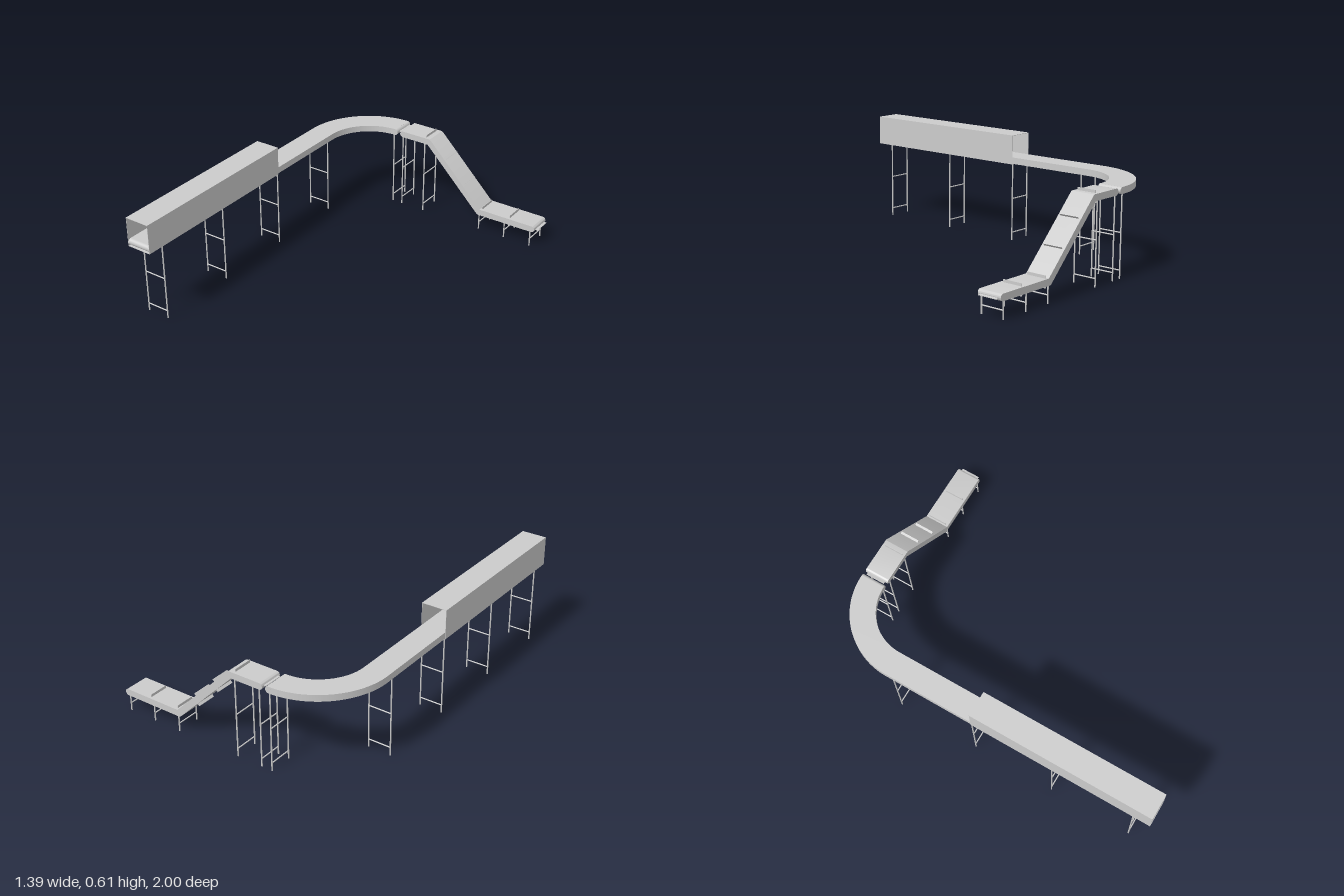
import * as THREE from 'three';
import { toCreasedNormals } from 'three/addons/utils/BufferGeometryUtils.js';

const R = 0.0185;   // half the belt thickness
const HIGH = 0.467; // centre height of the raised belts
const LOW = 0.11;   // centre height of the lower belt

export function createModel() {
  const model = new THREE.Group();
  const grey = new THREE.MeshStandardMaterial({ color: 0xcccccc });

  const add = (name, geometry, parent = model) => {
    const mesh = new THREE.Mesh(geometry, grey);
    mesh.name = name;
    parent.add(mesh);
    return mesh;
  };
  const extrude = (shape, depth, curveSegments = 12) =>
    new THREE.ExtrudeGeometry(shape, { depth, curveSegments, bevelEnabled: false });

  // Curved belt: plan outline with a straight run and a quarter turn
  const plan = new THREE.Shape();
  plan.moveTo(-0.69, -0.98);
  plan.lineTo(-0.69, 0.59);
  plan.absarc(-0.28, 0.59, 0.41, Math.PI, Math.PI / 2, true);
  plan.lineTo(-0.28, 0.86);
  plan.absarc(-0.28, 0.59, 0.27, Math.PI / 2, Math.PI, false);
  plan.lineTo(-0.55, -0.98);
  plan.closePath();
  const curved = extrude(plan, 2 * R, 32).rotateX(-Math.PI / 2).translate(0, HIGH - R, 0);
  add('curvedBelt', toCreasedNormals(curved, 0.5));

  // Rounded belt ends
  const roller = () => new THREE.CylinderGeometry(R, R, 0.14, 24);
  add('frontRoller', roller().rotateZ(Math.PI / 2)).position.set(-0.62, HIGH, 0.98);
  add('turnRoller', roller().rotateX(Math.PI / 2)).position.set(-0.283, HIGH, -0.93);

  // Open-ended tunnel around the straight run
  const ring = new THREE.Shape();
  const hole = new THREE.Path();
  const rect = (path, x0, y0, x1, y1) => {
    path.moveTo(x0, y0);
    path.lineTo(x1, y0);
    path.lineTo(x1, y1);
    path.lineTo(x0, y1);
    path.closePath();
  };
  rect(ring, -0.692, 0.445, -0.546, 0.613);
  rect(hole, -0.69, 0.447, -0.548, 0.611);
  ring.holes.push(hole);
  add('tunnel', extrude(ring, 1.065).translate(0, 0, -0.065));

  // Descending belt: side outline, clockwise from the upper end
  const m = R * Math.tan(Math.PI / 8);
  const [ax, bx, cx, dx] = [-0.227, -0.045, 0.312, 0.663];
  const side = new THREE.Shape();
  side.moveTo(ax, HIGH + R);
  side.lineTo(bx, HIGH + R);
  side.absarc(bx, HIGH, R, Math.PI / 2, Math.PI / 4, true);
  side.lineTo(cx + m, LOW + R);
  side.lineTo(dx, LOW + R);
  side.absarc(dx, LOW, R, Math.PI / 2, -Math.PI / 2, true);
  side.lineTo(cx, LOW - R);
  side.absarc(cx, LOW, R, -Math.PI / 2, -Math.PI * 0.75, true);
  side.lineTo(bx - m, HIGH - R);
  side.lineTo(ax, HIGH - R);
  side.absarc(ax, HIGH, R, -Math.PI / 2, -Math.PI * 1.5, true);
  add('descendingBelt', toCreasedNormals(extrude(side, 0.14).translate(0, 0, -1), 0.5));

  // Cleats standing out from the descending belt, evenly spaced round the loop
  const cleats = new THREE.Group();
  cleats.name = 'cleats';
  model.add(cleats);
  const count = 12;
  const start = 0.157 / side.getLength();
  for (let i = 0; i < count; i++) {
    const u = (start + i / count) % 1;
    const p = side.getPointAt(u);
    const t = side.getTangentAt(u);
    const cleat = add('cleat', new THREE.BoxGeometry(0.003, 0.016, 0.11), cleats);
    cleat.position.set(p.x - t.y * 0.007, p.y + t.x * 0.007, -0.93);
    cleat.rotation.z = Math.atan2(t.y, t.x);
  }

  // Leg frame: two posts joined by rungs, spread along local x
  const legFrame = (x, z, height, rungs, turned) => {
    const frame = new THREE.Group();
    frame.name = 'legFrame';
    for (const s of [-1, 1]) {
      add('post', new THREE.CylinderGeometry(0.004, 0.004, height, 10), frame)
        .position.set(s * 0.066, height / 2, 0);
    }
    for (const y of rungs) {
      add('rung', new THREE.CylinderGeometry(0.0035, 0.0035, 0.132, 10).rotateZ(Math.PI / 2), frame)
        .position.y = y;
    }
    frame.position.set(x, 0, z);
    if (turned) frame.rotation.y = Math.PI / 2;
    model.add(frame);
  };
  for (const z of [0.9, 0.42, -0.062, -0.545]) legFrame(-0.619, z, 0.45, [0.045, 0.245], false);
  for (const x of [-0.288, -0.224, -0.072]) legFrame(x, -0.928, 0.45, [0.045, 0.245], true);
  for (const x of [0.318, 0.487, 0.656]) legFrame(x, -0.928, 0.095, [0.045], true);

  return model;
}
